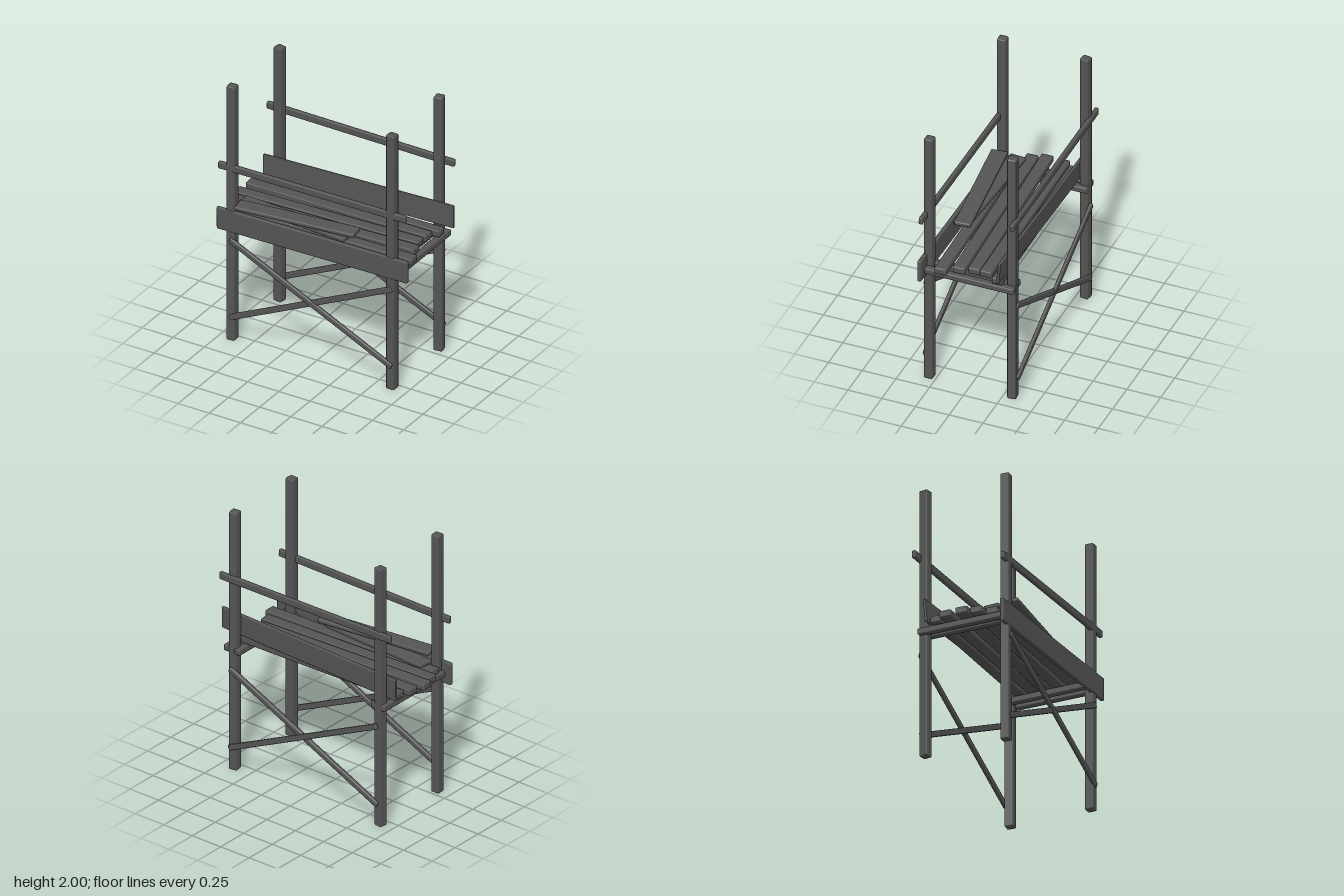
import * as THREE from 'three';
import { RoundedBoxGeometry } from 'three/addons/geometries/RoundedBoxGeometry.js';

export function createModel() {
  const root = new THREE.Group();
  root.name = 'woodenStall';
  const wood = new THREE.MeshStandardMaterial({ color: 0x555555 });
  wood.name = 'weathered grey wood';

  // Timber with softly worn edges, centred on its own middle
  function timber(name, w, h, d, parent = root) {
    const r = Math.min(0.009, Math.min(w, h, d) * 0.28);
    const mesh = new THREE.Mesh(new RoundedBoxGeometry(w, h, d, 1, r), wood);
    mesh.name = name;
    parent.add(mesh);
    return mesh;
  }

  // Board running along x from point a to point b; roll turns it on its length
  function board(name, a, b, h, d, roll = 0, parent = root) {
    const p = new THREE.Vector3(...a), q = new THREE.Vector3(...b);
    const dir = q.clone().sub(p);
    const mesh = timber(name, dir.length(), h, d, parent);
    mesh.position.copy(p).add(q).multiplyScalar(0.5);
    mesh.rotation.set(roll, -Math.atan2(dir.z, dir.x),
      Math.atan2(dir.y, Math.hypot(dir.x, dir.z)), 'YZX');
    return mesh;
  }

  // Four tall corner posts, each slightly twisted
  const posts = [
    ['frontRightPost', -0.648, 0.3, 0.06],
    ['frontLeftPost', 0.632, 0.3, -0.03],
    ['backRightPost', -0.648, -0.316, -0.14],
    ['backLeftPost', 0.632, -0.316, 0.12],
  ];
  for (const [name, x, z, twist] of posts) {
    const post = timber(name, 0.065, 2, 0.065);
    post.position.set(x, 1, z);
    post.rotation.y = twist;
  }

  // Paired seat bearers clamping the posts on each side
  for (const x of [-0.685, -0.611, 0.59, 0.682]) {
    const bearer = timber('seatBearer', 0.052, 0.046, 0.675);
    bearer.position.set(x, 0.928, -0.012);
  }

  // Uneven seat slats: x and z at both ends, height, width
  const slats = [
    [-0.73, -0.2, 0.705, -0.228, 0.985, 0.078],
    [-0.77, -0.108, 0.665, -0.127, 0.99, 0.088],
    [-0.787, 0.025, 0.653, -0.036, 0.982, 0.088],
    [-0.754, 0.12, 0.682, 0.065, 0.98, 0.088],
    [-0.7, 0.213, 0.737, 0.18, 0.976, 0.086],
  ];
  for (const [x1, z1, x2, z2, y, width] of slats) {
    board('seatSlat', [x1, y, z1], [x2, y, z2], 0.05, width);
  }

  // Two loose planks lying crossed on the seat
  board('lowerLoosePlank', [-0.645, 1.035, 0.183], [0.24, 1.035, 0.236], 0.03, 0.118);
  board('upperLoosePlank', [-0.605, 1.07, 0.305], [0.29, 1.07, 0.204], 0.03, 0.118);

  // Wide boards along the seat
  board('frontApron', [-0.757, 0.937, 0.321], [0.77, 0.96, 0.321], 0.168, 0.03);
  board('backBoard', [-0.75, 1.058, -0.27], [0.778, 1.11, -0.27], 0.168, 0.022, -0.07);

  // Thin upper rails
  board('frontRail', [-0.747, 1.355, 0.318], [0.753, 1.371, 0.318], 0.053, 0.031);
  board('backRail', [-0.767, 1.491, -0.349], [0.735, 1.483, -0.349], 0.054, 0.031);

  // Crossed braces between the legs, front and back
  const braces = [
    ['frontBraces', 0.332, 0.325, 0],
    ['backBraces', -0.358, -0.35, -0.012],
  ];
  for (const [name, zFall, zRise, drop] of braces) {
    const cross = new THREE.Group();
    cross.name = name;
    root.add(cross);
    board('fallingBrace', [-0.65, 0.795 + drop, zFall], [0.648, 0.185 + drop, zFall],
      0.042, 0.026, 0, cross);
    board('risingBrace', [-0.65, 0.18 + drop, zRise], [0.648, 0.795 + drop, zRise],
      0.042, 0.03, 0, cross);
  }

  return root;
}
